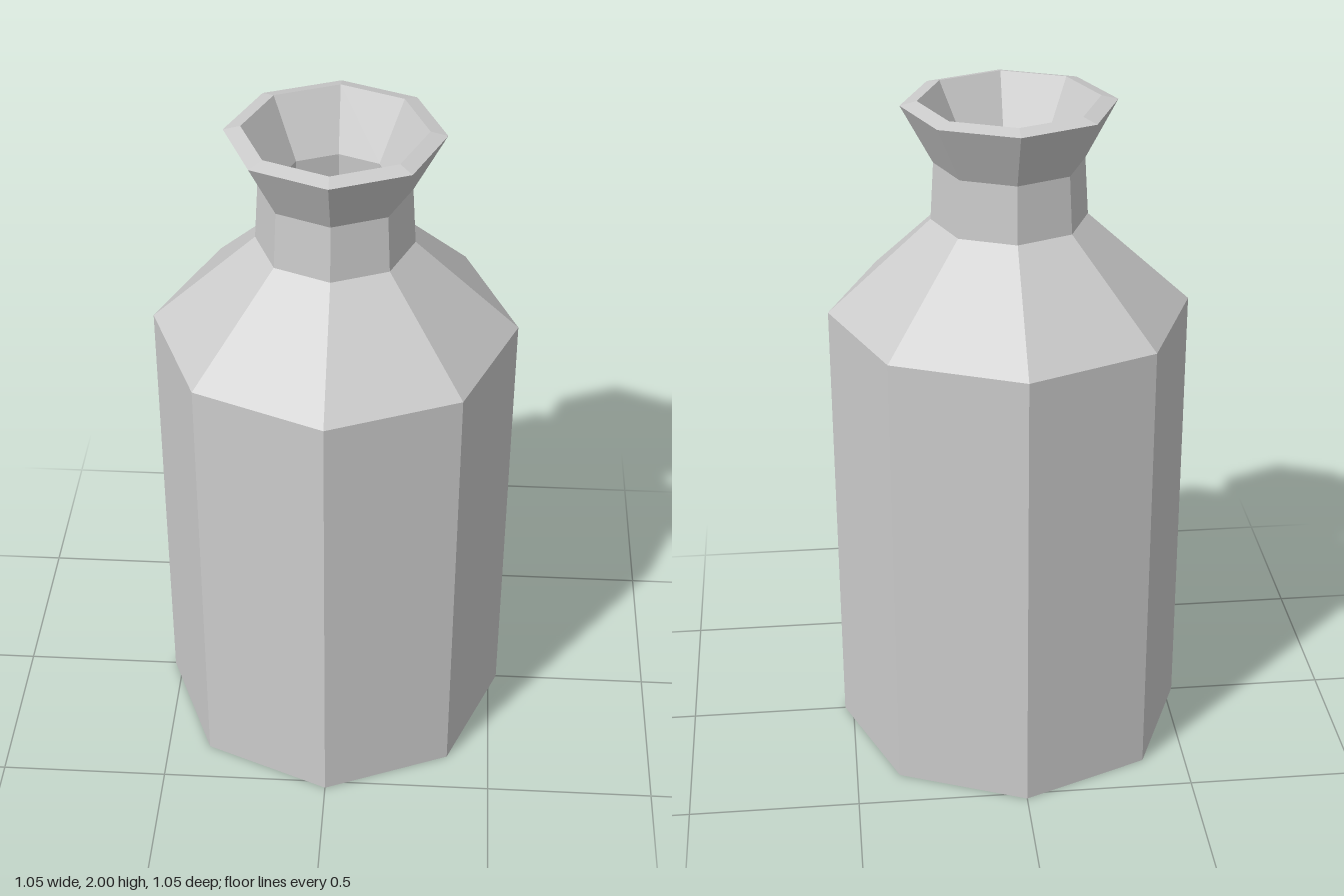
import * as THREE from 'three';

const SIDES = 8;

// Octagonal faceted surface of revolution, corners on the x and z axes
function facetedLathe(name, profile, material) {
  const points = profile.map(([r, y]) => new THREE.Vector2(r, y));
  const mesh = new THREE.Mesh(new THREE.LatheGeometry(points, SIDES), material);
  mesh.name = name;
  return mesh;
}

export function createModel() {
  const group = new THREE.Group();
  group.name = 'bottle';
  const material = new THREE.MeshStandardMaterial({ color: 0xcccccc, flatShading: true });

  // Base, straight body and sloping shoulder
  group.add(facetedLathe('body', [[0, 0], [0.526, 0], [0.526, 1.375], [0.225, 1.652]], material));

  // Narrow neck
  group.add(facetedLathe('neck', [[0.225, 1.652], [0.215, 1.82]], material));

  // Flared mouth with a gently sloping rim
  group.add(facetedLathe('mouth', [[0.215, 1.82], [0.305, 1.988], [0.257, 2]], material));

  // Hollow inside, running from the rim down to the floor
  group.add(facetedLathe('interior', [
    [0.257, 2], [0.165, 1.83], [0.175, 1.63], [0.475, 1.35], [0.475, 0.05], [0, 0.05],
  ], material));

  return group;
}
